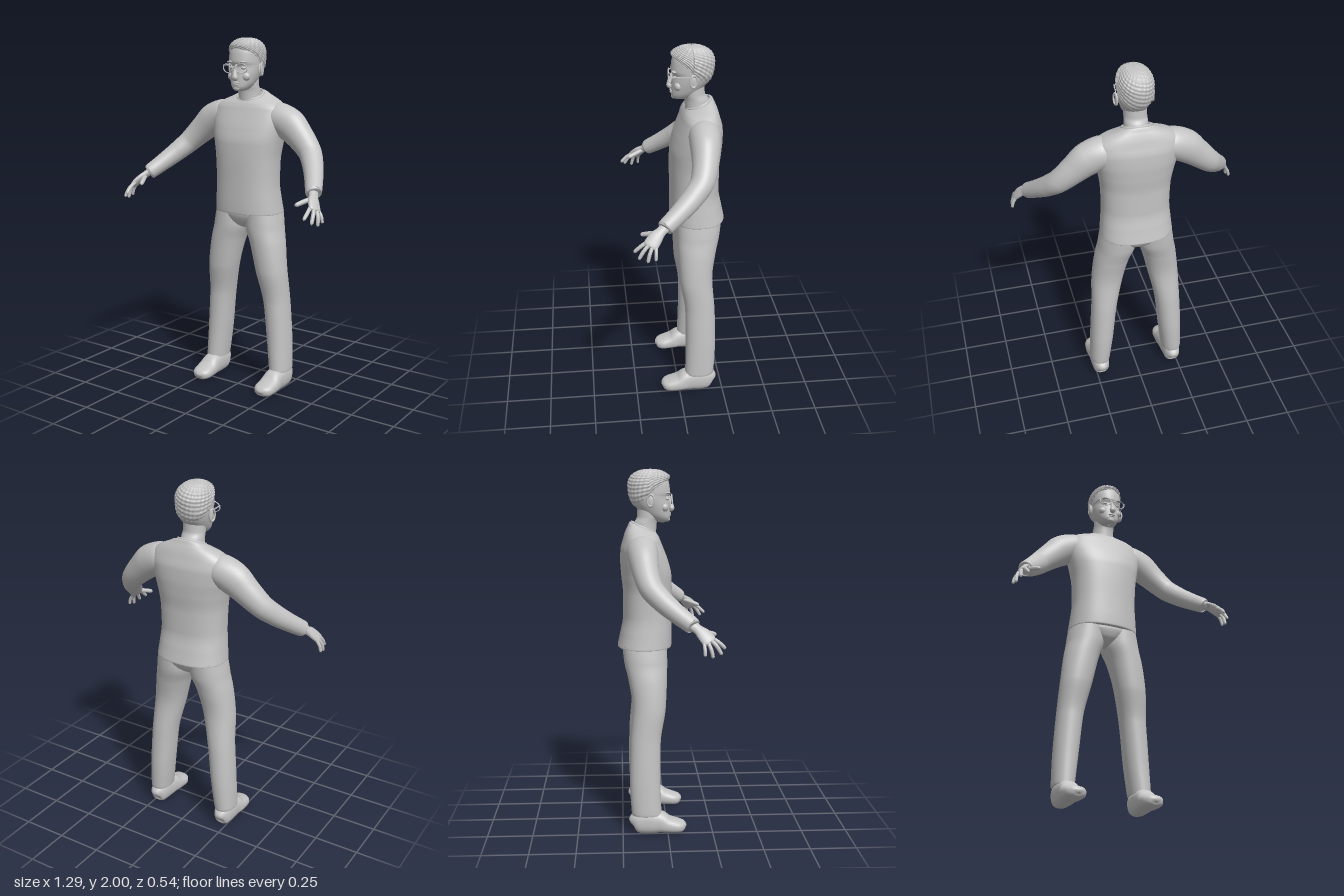
import * as THREE from 'three';
import { ParametricGeometry } from 'three/addons/geometries/ParametricGeometry.js';

const TAU = Math.PI * 2;
const grey = new THREE.MeshStandardMaterial({ color: 0xc4c4c4 });
grey.name = 'plain grey';

// smooth interpolation of rows without overshoot, t in 0..1
function sample(rows, t) {
  const n = rows.length - 1;
  const f = Math.min(Math.max(t, 0), 1) * n;
  const i = Math.min(Math.floor(f), n - 1), s = f - i;
  const slope = (k, c) => {
    if (k === 0) return rows[1][c] - rows[0][c];
    if (k === n) return rows[n][c] - rows[n - 1][c];
    const p = rows[k][c] - rows[k - 1][c], q = rows[k + 1][c] - rows[k][c];
    return p * q > 0 ? (2 * p * q) / (p + q) : 0;
  };
  return rows[0].map((_, c) => {
    const a = rows[i][c], b = rows[i + 1][c], s2 = s * s, s3 = s2 * s;
    return (2 * s3 - 3 * s2 + 1) * a + (s3 - 2 * s2 + s) * slope(i, c)
      + (3 * s2 - 2 * s3) * b + (s3 - s2) * slope(i + 1, c);
  });
}

const power = (v, e) => Math.sign(v) * Math.pow(Math.abs(v), e);

// point on a level ring: [y, halfWidth, frontZ, backZ, centreX, tilt]
function ringPoint([y, rx, zf, zb, cx = 0, tilt = 0], a, e, target) {
  const dz = -power(Math.sin(a), e) * (zf - zb) / 2;
  return target.set(cx + rx * power(Math.cos(a), e), y + tilt * dz, (zf + zb) / 2 + dz);
}

// body made of level rings, listed from bottom to top
function stack(rows, { e = 1, side = 1, seg = 40, step = 6 } = {}) {
  return new ParametricGeometry((u, v, p) => {
    ringPoint(sample(rows, v), side * u * TAU, e, p);
    p.x *= side;
  }, seg, (rows.length - 1) * step);
}

// limb along a path: [x, y, z, radius along ref, radius across]
function limb(rows, { ref = [0, 0, 1], side = 1, e = 1, seg = 20, step = 5, floor = -1 } = {}) {
  const centre = t => new THREE.Vector3(...sample(rows, t));
  return new ParametricGeometry((u, v, p) => {
    const r = sample(rows, v), a = side * u * TAU;
    const T = centre(v + 0.01).sub(centre(v - 0.01)).normalize();
    const B = new THREE.Vector3(...ref);
    B.addScaledVector(T, -B.dot(T)).normalize();
    const N = T.clone().cross(B);
    p.set(r[0], r[1], r[2])
      .addScaledVector(B, r[3] * power(Math.cos(a), e))
      .addScaledVector(N, r[4] * power(Math.sin(a), e));
    p.y = Math.max(p.y, floor);
    p.x *= side;
  }, seg, (rows.length - 1) * step);
}

const headRows = [
  [1.708, 0.004, -0.01, -0.03], [1.716, 0.034, 0.014, -0.07], [1.74, 0.056, 0.023, -0.11],
  [1.775, 0.071, 0.022, -0.15], [1.81, 0.081, 0.019, -0.178], [1.84, 0.086, 0.014, -0.192],
  [1.87, 0.088, 0.024, -0.2], [1.91, 0.089, 0.02, -0.203], [1.945, 0.081, 0.01, -0.193],
  [1.972, 0.06, -0.012, -0.165], [1.986, 0.035, -0.045, -0.128], [1.99, 0.002, -0.084, -0.088],
];

// head ring at a given height
function headAt(y) {
  let lo = 0, hi = 1;
  for (let i = 0; i < 24; i++) {
    const m = (lo + hi) / 2;
    if (sample(headRows, m)[0] < y) lo = m; else hi = m;
  }
  return sample(headRows, lo);
}

// short hair following the skull, with a ragged surface
function hairGeometry() {
  return new ParametricGeometry((u, v, p) => {
    const a = u * TAU, front = -Math.sin(a);
    const line = front > 0 ? 1.85 + 0.09 * Math.pow(front, 0.6) : 1.85 + 0.07 * front;
    const y = line + (1.9899 - line) * (1 - Math.pow(1 - v, 1.6));
    ringPoint(headAt(y), a, 0.92, p);
    const rough = Math.sin(a * 17 + v * 31) * Math.sin(a * 9 - v * 43) * 0.003 * Math.min(1, (1 - v) * 3);
    const fringe = 0.012 * Math.max(0, front) * Math.exp(-Math.pow((y - 1.955) / 0.02, 2));
    const puff = 0.008 * Math.min(1, v * 8) - 0.002 + rough;
    const d = new THREE.Vector3(p.x, (p.y - 1.87) * 0.9, p.z + 0.088).normalize();
    p.addScaledVector(d, puff);
    p.z += fringe;
  }, 90, 40);
}

export function createModel() {
  const model = new THREE.Group();
  model.name = 'standingMan';
  const add = (name, geometry, parent = model) => {
    const mesh = new THREE.Mesh(geometry, grey);
    mesh.name = name;
    parent.add(mesh);
    return mesh;
  };
  const ball = (x, y, z, sx, sy, sz) => new THREE.SphereGeometry(1, 20, 14).scale(sx, sy, sz).translate(x, y, z);

  // sweater body and collar
  add('sweater', stack([
    [1.032, 0.1, -0.04, -0.2, 0, 0], [1.026, 0.198, 0.028, -0.268, 0, 0], [1.03, 0.2, 0.03, -0.27, 0, 0],
    [1.1, 0.193, 0.032, -0.255, 0, 0], [1.2, 0.186, 0.032, -0.238, 0, 0],
    [1.32, 0.19, 0.033, -0.238, 0, 0], [1.42, 0.205, 0.03, -0.247, 0, 0],
    [1.5, 0.222, 0.012, -0.252, 0, 0], [1.56, 0.23, -0.01, -0.25, 0, 0],
    [1.61, 0.222, -0.03, -0.238, 0, 0], [1.645, 0.185, -0.042, -0.225, 0, -0.1],
    [1.668, 0.13, -0.05, -0.21, 0, -0.25], [1.683, 0.082, -0.055, -0.195, 0, -0.4],
    [1.676, 0.05, -0.08, -0.17, 0, -0.4],
  ], { e: 0.84, seg: 56 }));
  add('collar', new THREE.TorusGeometry(0.076, 0.007, 10, 48).rotateX(-Math.PI / 2)
    .scale(1, 1, 0.92).rotateX(0.4).translate(0, 1.683, -0.124));

  // hips
  add('hips', stack([
    [0.925, 0.006, -0.09, -0.13], [0.945, 0.05, -0.04, -0.185], [0.98, 0.13, -0.008, -0.225],
    [1.02, 0.19, 0.004, -0.243], [1.045, 0.192, 0.004, -0.245],
  ], { e: 0.85 }));

  // neck and head
  add('neck', stack([
    [1.62, 0.07, -0.055, -0.19], [1.7, 0.063, -0.05, -0.178], [1.74, 0.061, -0.04, -0.158],
    [1.8, 0.062, -0.03, -0.155],
  ]));
  add('head', stack(headRows, { e: 0.92 }));
  add('hair', hairGeometry());
  add('nose', limb([
    [0, 1.862, 0.012, 0.006, 0.005], [0, 1.83, 0.02, 0.008, 0.011], [0, 1.8, 0.029, 0.013, 0.015],
    [0, 1.785, 0.032, 0.018, 0.015], [0, 1.772, 0.024, 0.012, 0.008], [0, 1.77, 0.02, 0.001, 0.001],
  ], { ref: [1, 0, 0] }));
  add('upperLip', ball(0, 1.757, 0.02, 0.022, 0.006, 0.01));
  add('lowerLip', ball(0, 1.747, 0.019, 0.019, 0.006, 0.01));
  add('chin', ball(0, 1.725, 0.008, 0.024, 0.014, 0.015));

  // glasses bridge
  add('glassesBridge', new THREE.BoxGeometry(0.024, 0.005, 0.005).translate(0, 1.843, 0.034));

  for (const side of [1, -1]) {
    const word = side > 0 ? 'left' : 'right';
    const part = (name, geometry) => add(word + name, geometry);

    // face details and glasses
    part('Brow', ball(side * 0.038, 1.868, 0.009, 0.026, 0.006, 0.014));
    part('Eye', ball(side * 0.038, 1.836, 0.004, 0.015, 0.008, 0.012));
    part('Cheek', ball(side * 0.043, 1.79, -0.01, 0.028, 0.025, 0.022));
    part('Ear', ball(side * 0.093, 1.825, -0.085, 0.009, 0.036, 0.021).rotateY(0));
    part('EarRim', new THREE.TorusGeometry(0.024, 0.005, 8, 24).scale(0.8, 1.3, 1)
      .rotateY(Math.PI / 2 + side * 0.25).translate(side * 0.1, 1.828, -0.085));
    part('LensRim', new THREE.TorusGeometry(0.03, 0.003, 8, 32).scale(1.1, 0.84, 1)
      .rotateY(side * 0.15).translate(side * 0.045, 1.835, 0.031));
    part('Temple', new THREE.BoxGeometry(0.004, 0.006, 0.118)
      .rotateY(-side * 0.12).translate(side * 0.087, 1.848, -0.032));

    // sleeve
    part('Sleeve', limb([
      [0.13, 1.575, -0.135, 0.07, 0.07], [0.19, 1.56, -0.134, 0.084, 0.087], [0.255, 1.53, -0.13, 0.08, 0.091],
      [0.33, 1.468, -0.12, 0.07, 0.077], [0.4, 1.4, -0.098, 0.063, 0.065],
      [0.455, 1.338, -0.042, 0.057, 0.057], [0.51, 1.272, 0.04, 0.049, 0.049],
      [0.549, 1.224, 0.108, 0.043, 0.043], [0.552, 1.221, 0.112, 0.038, 0.038], [0.553, 1.22, 0.113, 0.012, 0.012],
    ], { side, seg: 32, step: 6 }));

    // palm and fingers
    part('Palm', limb([
      [0.54, 1.235, 0.095, 0.03, 0.024], [0.562, 1.21, 0.13, 0.027, 0.019], [0.58, 1.188, 0.158, 0.036, 0.018],
      [0.6, 1.16, 0.183, 0.039, 0.016], [0.609, 1.149, 0.194, 0.028, 0.011], [0.611, 1.147, 0.196, 0.002, 0.002],
    ], { ref: [0.4, -0.45, -0.8], side }));
    const fingers = [
      ['Thumb', [0.56, 1.2, 0.14], [0.535, 1.187, 0.185], [0.511, 1.172, 0.232], 0.013],
      ['IndexFinger', [0.585, 1.173, 0.195], [0.59, 1.145, 0.237], [0.587, 1.112, 0.272], 0.0105],
      ['MiddleFinger', [0.6, 1.165, 0.19], [0.615, 1.13, 0.224], [0.621, 1.088, 0.25], 0.0105],
      ['RingFinger', [0.609, 1.155, 0.178], [0.628, 1.115, 0.195], [0.633, 1.073, 0.205], 0.01],
      ['LittleFinger', [0.61, 1.15, 0.16], [0.63, 1.115, 0.163], [0.637, 1.083, 0.164], 0.009],
    ];
    for (const [name, base, mid, tip, r] of fingers) {
      const near = mid.map((m, i) => m + (tip[i] - m) * 0.8);
      part(name, limb([
        [...base, r, r], [...mid, r, r], [...near, r * 0.85, r * 0.85], [...tip, 0.0008, 0.0008],
      ], { ref: [1, 0, 0.1], side, seg: 12 }));
    }

    // trouser leg
    part('TrouserLeg', stack([
      [0.112, 0.03, -0.08, -0.15, 0.222], [0.105, 0.057, -0.037, -0.198, 0.222], [0.11, 0.058, -0.035, -0.2, 0.222],
      [0.3, 0.067, -0.04, -0.21, 0.207], [0.5, 0.072, -0.038, -0.206, 0.19],
      [0.7, 0.088, -0.008, -0.192, 0.163], [0.85, 0.097, 0, -0.212, 0.135],
      [0.95, 0.104, 0.003, -0.235, 0.108], [1.04, 0.096, 0.002, -0.245, 0.1],
    ], { e: 0.92, side }));

    // shoe
    part('Shoe', limb([
      [0.222, 0.05, -0.203, 0.004, 0.004], [0.222, 0.056, -0.195, 0.03, 0.04], [0.222, 0.062, -0.165, 0.047, 0.062],
      [0.222, 0.064, -0.11, 0.052, 0.068], [0.22, 0.06, -0.05, 0.055, 0.062], [0.22, 0.045, 0, 0.06, 0.045],
      [0.218, 0.036, 0.05, 0.059, 0.036], [0.217, 0.031, 0.085, 0.044, 0.028],
      [0.217, 0.028, 0.098, 0.022, 0.016], [0.217, 0.026, 0.102, 0.002, 0.002],
    ], { ref: [1, 0, 0], e: 0.8, side, seg: 32, floor: 0 }));
  }
  return model;
}
